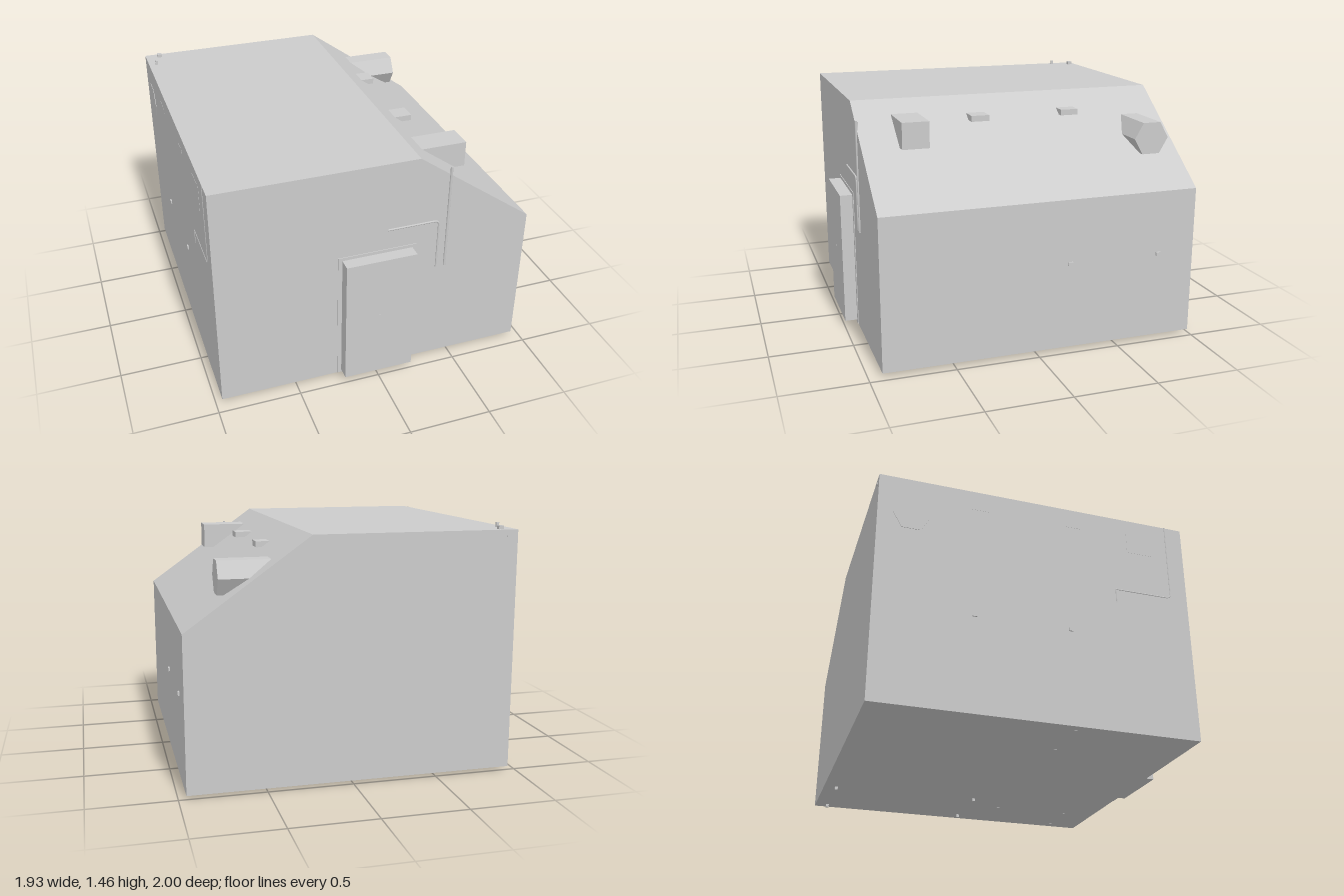
import * as THREE from 'three';

const mat = new THREE.MeshStandardMaterial({ color: 0xcccccc, flatShading: true });
const smooth = new THREE.MeshStandardMaterial({ color: 0xcccccc });

export function createModel() {
  const group = new THREE.Group();

  const add = (name, geometry, material = mat) => {
    const mesh = new THREE.Mesh(geometry, material);
    mesh.name = name;
    group.add(mesh);
    return mesh;
  };
  // Box given by its extents on each axis
  const box = (name, [x0, x1], [y0, y1], [z0, z1]) =>
    add(name, new THREE.BoxGeometry(x1 - x0, y1 - y0, z1 - z0))
      .position.set((x0 + x1) / 2, (y0 + y1) / 2, (z0 + z1) / 2);
  // Small peg given by its centre and size
  const peg = (name, x, y, z, w, h, d) =>
    add(name, new THREE.BoxGeometry(w, h, d)).position.set(x, y, z);
  const tube = (name, points, radius, bend) => {
    const path = new THREE.CurvePath();
    const [a, b, c] = points.map(p => new THREE.Vector3(...p));
    if (!c) path.add(new THREE.LineCurve3(a, b));
    else {
      const before = b.clone().add(a.clone().sub(b).setLength(bend));
      const after = b.clone().add(c.clone().sub(b).setLength(bend));
      path.add(new THREE.LineCurve3(a, before));
      path.add(new THREE.QuadraticBezierCurve3(before, b, after));
      path.add(new THREE.LineCurve3(after, c));
    }
    add(name, new THREE.TubeGeometry(path, 64, radius, 8), smooth);
  };

  // Main block with one sloping roof side
  const profile = new THREE.Shape([
    [-0.96, 0.02], [0.955, 0.02], [0.955, 0.925], [0.24, 1.435], [-0.96, 1.435],
  ].map(p => new THREE.Vector2(...p)));
  const body = new THREE.ExtrudeGeometry(profile, { depth: 1.917, bevelEnabled: false });
  add('body', body).position.z = -0.998;

  // Door, its frame and handle
  box('doorFrame', [-0.24, 0.24], [0.021, 0.875], [0.9, 0.923]);
  box('door', [-0.215, 0.215], [0.04, 0.855], [0.9, 0.998]);
  peg('doorHandle', 0, 0.47, 0.995, 0.02, 0.008, 0.01);

  // Ducts running across the block and out of the slope
  box('squareDuct', [-0.961, 0.625], [1.205, 1.36], [0.54, 0.7]);
  box('smallDuct', [-0.961, 0.475], [1.31, 1.345], [0.135, 0.245]);
  box('smallDuct', [-0.961, 0.45], [1.31, 1.345], [-0.445, -0.335]);
  const hex = new THREE.CylinderGeometry(0.11, 0.11, 1.708, 6);
  hex.rotateZ(Math.PI / 2);
  add('hexDuct', hex).position.set(-0.109, 1.197, -0.8);

  // Pipes on the front and left walls
  tube('frontPipe', [[0.43, 0.68, 0.921], [0.43, 1.35, 0.921]], 0.008);
  tube('bentPipe', [[0.06, 1.005, 0.921], [0.375, 1.005, 0.921], [0.375, 0.68, 0.921]], 0.006, 0.03);
  tube('sidePipe', [[-0.959, 1.437, 0.81], [-0.959, 0.93, 0.81], [-0.959, 0.93, 0.45]], 0.004, 0.03);
  tube('sidePipeEnd', [[-0.959, 0.93, 0.45], [-0.959, 0.84, 0.45]], 0.004);

  // Pegs on the side walls
  for (const z of [-0.2, -0.765]) peg('rightPeg', 0.955, 0.54, z, 0.02, 0.022, 0.028);
  for (const z of [-0.42, 0.15]) peg('leftPeg', -0.96, 0.61, z, 0.016, 0.02, 0.026);

  // Feet and flat studs under the floor
  for (const [x, z] of [[0.9, -0.92], [0.495, -0.92], [0.87, 0], [0.47, 0]])
    peg('foot', x, 0.015, z, 0.018, 0.03, 0.018);
  for (const [x, z] of [[0.615, 0.22], [0.88, 0.71], [0.615, 0.71], [-0.59, 0.18], [-0.9, 0.18]])
    peg('floorStud', x, 0.02, z, 0.016, 0.006, 0.016);

  // Pegs at the rear corner
  peg('roofPeg', -0.91, 1.44, -0.83, 0.016, 0.044, 0.016);
  peg('roofPeg', -0.87, 1.435, -0.955, 0.03, 0.04, 0.03);
  peg('rearPeg', -0.905, 1.4, -0.996, 0.018, 0.016, 0.012);

  return group;
}
